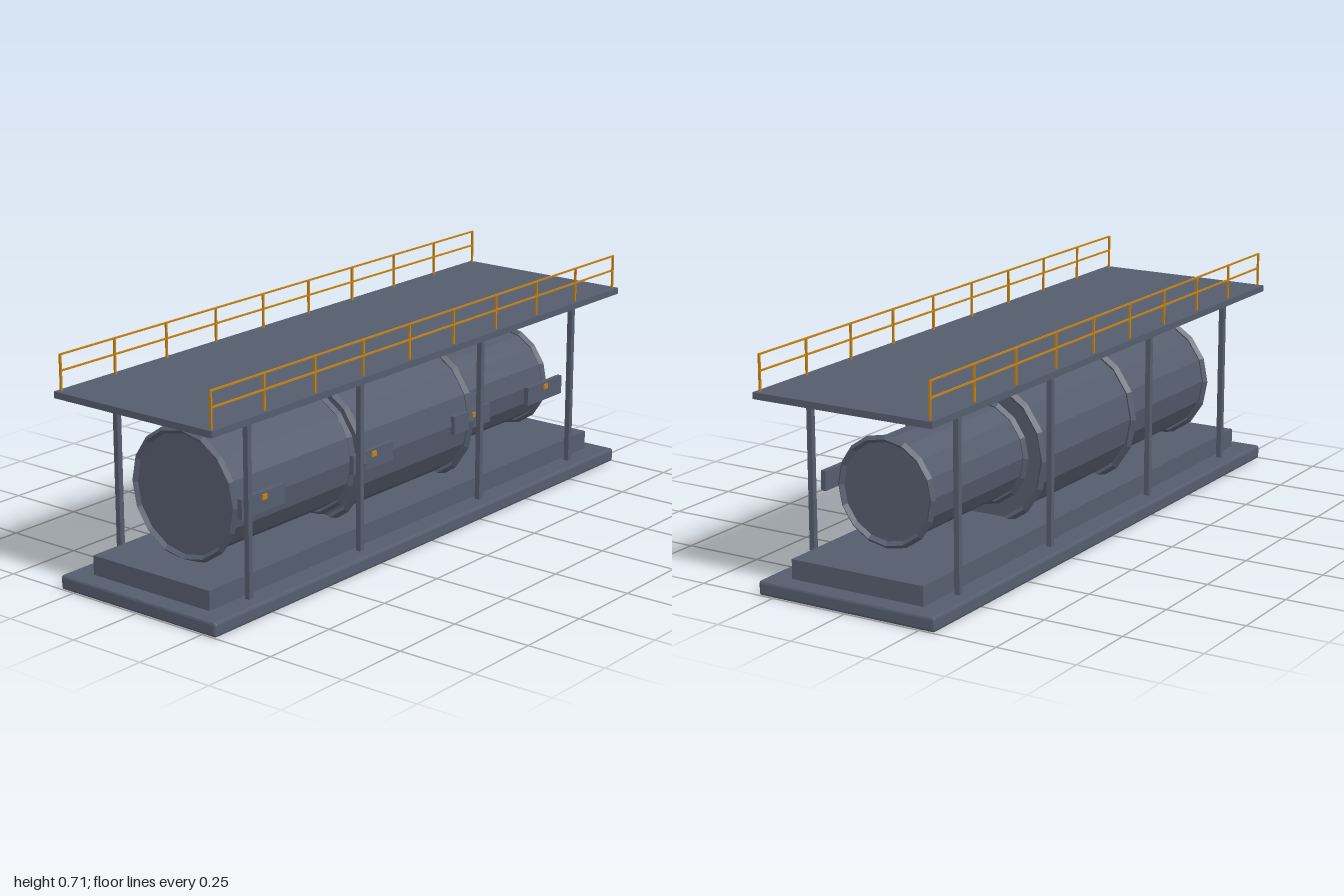
import * as THREE from 'three';
import { RoundedBoxGeometry } from 'three/addons/geometries/RoundedBoxGeometry.js';

export function createModel() {
  const model = new THREE.Group();
  model.name = 'shelteredTurbine';
  const steel = new THREE.MeshStandardMaterial({ color: 0x555d6e });
  steel.name = 'slate steel';
  const amber = new THREE.MeshStandardMaterial({ color: 0xc8820f });
  amber.name = 'amber';

  // Faceted mesh: every face gets its own normal
  function add(parent, name, geometry, material, x, y, z) {
    const flat = geometry.index ? geometry.toNonIndexed() : geometry;
    flat.computeVertexNormals();
    const mesh = new THREE.Mesh(flat, material);
    mesh.name = name;
    mesh.position.set(x, y, z);
    parent.add(mesh);
    return mesh;
  }
  const box = (w, h, d) => new THREE.BoxGeometry(w, h, d);

  // Chamfered base, plinth and roof deck
  add(model, 'base', new RoundedBoxGeometry(2, 0.045, 0.6, 1, 0.008), steel, 0, 0.0225, 0);
  add(model, 'plinth', box(1.88, 0.06, 0.45), steel, 0, 0.075, 0);
  add(model, 'roofDeck', box(2, 0.02, 0.6), steel, 0, 0.59, 0);

  // Drum sections along x, each with a diamond-section flange at both ends
  const axisY = 0.3;
  const sections = [
    { name: 'intakeDrum', from: -0.79, to: -0.26, r: 0.186, ring: 0.194, tube: 0.011 },
    { name: 'mainDrum', from: -0.25, to: 0.29, r: 0.212, ring: 0.223, tube: 0.012 },
    { name: 'exhaustDrum', from: 0.29, to: 0.785, r: 0.152, ring: 0.158, tube: 0.011 },
  ];
  for (const s of sections) {
    const group = new THREE.Group();
    group.name = s.name;
    model.add(group);
    const hull = new THREE.CylinderGeometry(s.r, s.r, s.to - s.from, 16).rotateZ(Math.PI / 2);
    add(group, 'hull', hull, steel, (s.from + s.to) / 2, axisY, 0);
    for (const x of [s.from, s.to]) {
      const ring = new THREE.TorusGeometry(s.ring, s.tube, 4, 16).rotateY(Math.PI / 2);
      add(group, 'flange', ring, steel, x, axisY, 0);
    }
  }

  // Control panels on the front, each with a small indicator lamp
  for (const x of [-0.7, -0.2, 0.3, 0.7]) {
    add(model, 'controlPanel', box(0.19, 0.06, 0.016), steel, x, 0.302, 0.214);
    add(model, 'indicatorLamp', box(0.02, 0.016, 0.006), amber, x, 0.317, 0.224);
  }

  for (const side of [1, -1]) {
    // Columns carrying the roof
    for (const x of [-0.8, -0.3, 0.3, 0.8]) {
      add(model, 'column', box(0.017, 0.535, 0.017), steel, x, 0.3125, side * 0.25);
    }
    // Guard railing
    const railing = new THREE.Group();
    railing.name = side > 0 ? 'frontRailing' : 'backRailing';
    model.add(railing);
    const z = side * 0.285;
    for (let i = 0; i < 10; i++) {
      add(railing, 'railPost', box(0.006, 0.11, 0.006), amber, -0.985 + (i * 1.97) / 9, 0.655, z);
    }
    for (const y of [0.66, 0.708]) {
      add(railing, 'rail', box(1.97, 0.005, 0.005), amber, 0, y, z);
    }
  }
  return model;
}
